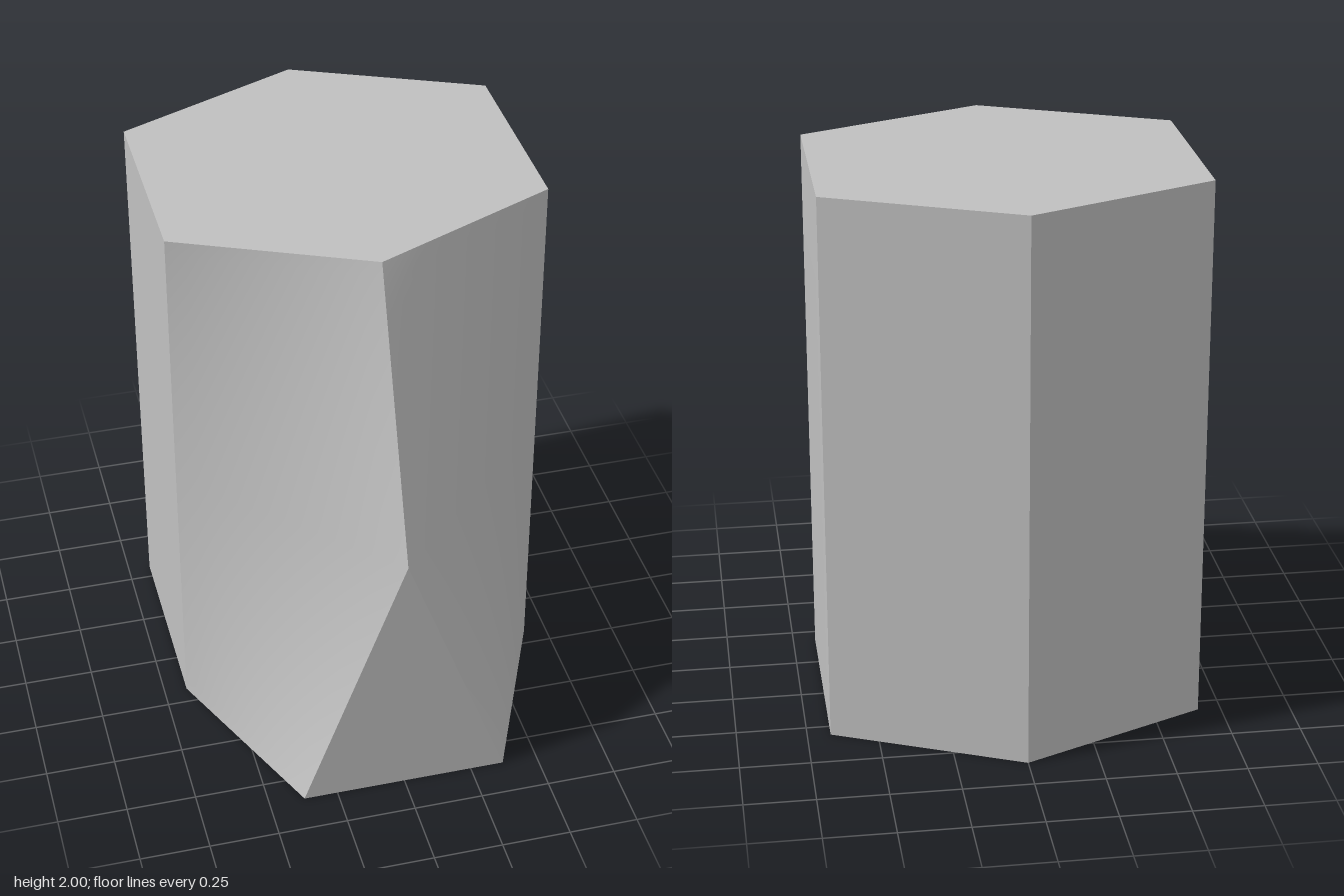
import * as THREE from 'three';
import { toCreasedNormals } from 'three/addons/utils/BufferGeometryUtils.js';

const H = 2, W = 0.667;            // height, half width
const Z_BACK = -0.855, Z_SIDE_BACK = -0.56, Z_SIDE_FRONT = 0.18, Z_TOP_FRONT = 0.48, Z_FRONT = 0.855;
const TOE = 0.372, PEAK = 1;       // half width and height of the front triangle

const v = (x, y, z) => new THREE.Vector3(x, y, z);

// Front rail: along the sloping ridge above the peak, along the triangle's edge below it
function rail(y, side) {
  if (y >= PEAK) return v(0, y, THREE.MathUtils.lerp(Z_FRONT, Z_TOP_FRONT, (y - PEAK) / (H - PEAK)));
  return v(side * TOE * (1 - y / PEAK), y, Z_FRONT);
}

// Fan of triangles over a convex outline listed counter-clockwise from outside
function addPolygon(out, points) {
  for (let i = 1; i < points.length - 1; i++) {
    for (const p of [points[0], points[i], points[i + 1]]) out.push(p.x, p.y, p.z);
  }
}

// Twisted ruled surface from the front rail to the upright side edge
function addSweptFace(out, side, rows = 40, cols = 10) {
  const point = (r, c) => {
    const y = (H * r) / rows;
    return rail(y, side).lerp(v(side * W, y, Z_SIDE_FRONT), c / cols);
  };
  for (let r = 0; r < rows; r++) {
    for (let c = 0; c < cols; c++) {
      const quad = [point(r, c), point(r, c + 1), point(r + 1, c + 1), point(r + 1, c)];
      addPolygon(out, side > 0 ? quad : quad.reverse());
    }
  }
}

export function createModel() {
  const group = new THREE.Group();
  group.name = 'sweptHexagonalColumn';
  const grey = new THREE.MeshStandardMaterial({ color: 0xc0c0c0 });
  grey.name = 'light grey';

  const addMesh = (name, positions) => {
    const geometry = new THREE.BufferGeometry();
    geometry.setAttribute('position', new THREE.Float32BufferAttribute(positions, 3));
    const mesh = new THREE.Mesh(toCreasedNormals(geometry, Math.PI / 6), grey);
    mesh.name = name;
    group.add(mesh);
  };

  // Side walls with the swept front faces that blend into them near the base
  const walls = [];
  for (const side of [1, -1]) {
    addSweptFace(walls, side);
    const edges = [[side * W, Z_SIDE_FRONT], [side * W, Z_SIDE_BACK], [0, Z_BACK]];
    for (let i = 0; i < 2; i++) {
      const [[x0, z0], [x1, z1]] = [edges[i], edges[i + 1]];
      const quad = [v(x0, 0, z0), v(x1, 0, z1), v(x1, H, z1), v(x0, H, z0)];
      addPolygon(walls, side > 0 ? quad : quad.reverse());
    }
  }
  addMesh('walls', walls);

  // Flat triangle at the front
  const front = [];
  addPolygon(front, [v(-TOE, 0, Z_FRONT), v(TOE, 0, Z_FRONT), v(0, PEAK, Z_FRONT)]);
  addMesh('frontTriangle', front);

  // Hexagonal top and seven-sided base
  const hull = (y) => [v(W, y, Z_SIDE_FRONT), v(W, y, Z_SIDE_BACK), v(0, y, Z_BACK),
    v(-W, y, Z_SIDE_BACK), v(-W, y, Z_SIDE_FRONT)];
  const top = [], base = [];
  addPolygon(top, [...hull(H), v(0, H, Z_TOP_FRONT)]);
  addPolygon(base, [...hull(0), v(-TOE, 0, Z_FRONT), v(TOE, 0, Z_FRONT)].reverse());
  addMesh('top', top);
  addMesh('base', base);

  return group;
}
